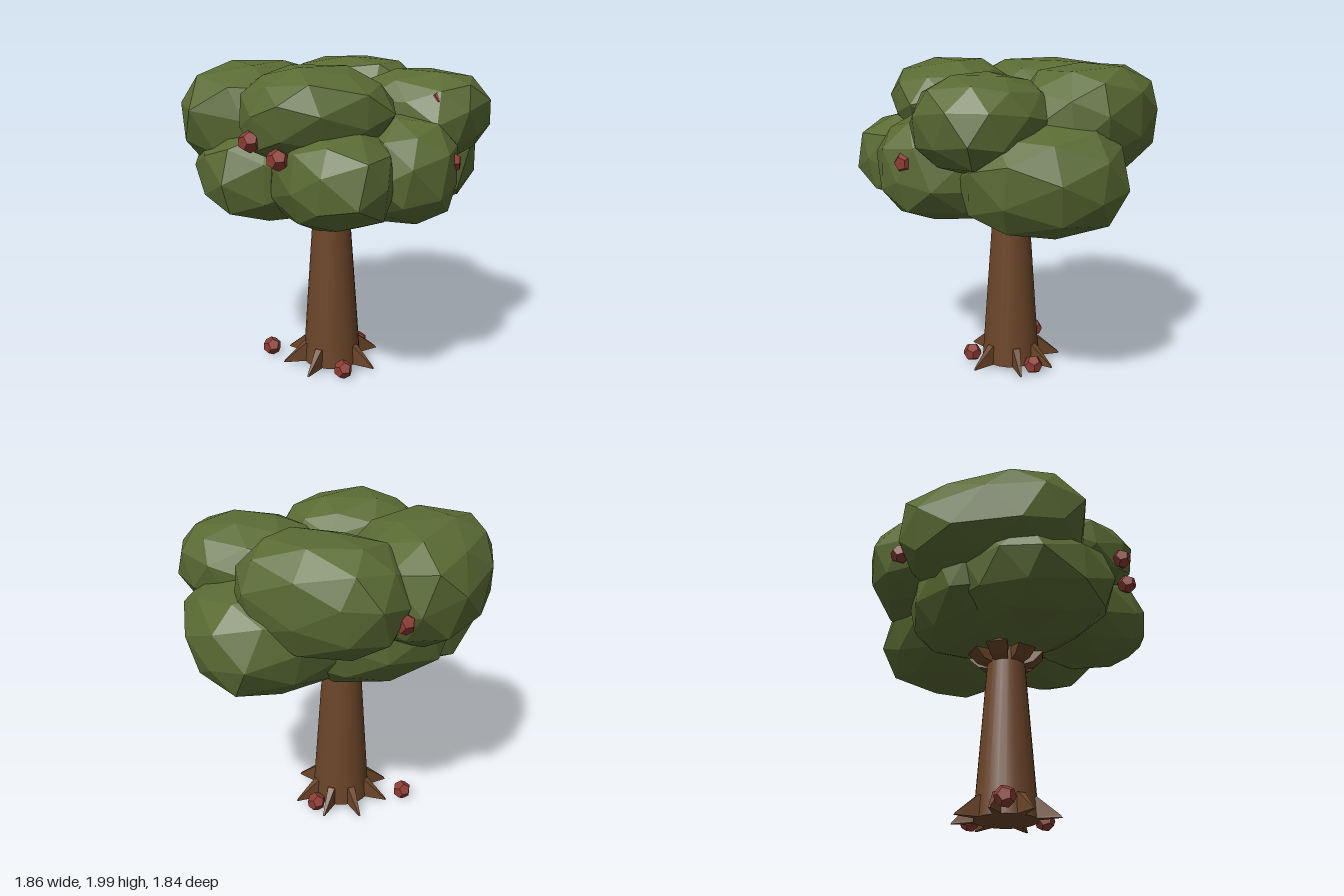
import * as THREE from 'three';

const std = (color, flat = true) => new THREE.MeshStandardMaterial({ color, flatShading: flat });
const leaf = std(0x5a6b34), bark = std(0x6b4529), barkSmooth = std(0x6b4529, false), red = std(0x8c3b32);
const TX = -0.065, TZ = -0.04; // trunk axis
const rad = THREE.MathUtils.degToRad;

// Repeatable wobble: the same corner always gets the same offset
function wobble(x, y, z, seed) {
  const s = Math.sin(x * 12.99 + y * 78.23 + z * 37.72 + seed * 4.13) * 437.58;
  return s - Math.floor(s) - 0.5;
}

// Faceted, slightly boxy leaf clump, turned by yaw degrees
function clump([x, y, z], [rx, ry, rz], yaw, seed, name) {
  const g = new THREE.IcosahedronGeometry(1, 1);
  g.rotateY(seed * 1.3).rotateX(seed * 0.7);
  const p = g.attributes.position, v = new THREE.Vector3();
  const box = (n) => Math.sign(n) * Math.abs(n) ** 0.82;
  for (let i = 0; i < p.count; i++) {
    v.fromBufferAttribute(p, i);
    const r = (n) => Math.round(n * 1000) / 1000 + 0;
    const k = 1 + 0.1 * wobble(r(v.x), r(v.y), r(v.z), seed);
    p.setXYZ(i, box(v.x) * k * rx, box(v.y) * k * ry, box(v.z) * k * rz);
  }
  g.computeVertexNormals();
  const m = new THREE.Mesh(g, leaf);
  m.position.set(x, y, z);
  m.rotation.y = rad(yaw);
  m.name = name;
  return m;
}

// Radial fin from an (outward, height) outline, its width set by distance from the trunk
function fin(points, width) {
  const shape = new THREE.Shape(points.map(([a, b]) => new THREE.Vector2(a, b)));
  const g = new THREE.ExtrudeGeometry(shape, { depth: 1, bevelEnabled: false });
  g.translate(0, 0, -0.5);
  const p = g.attributes.position;
  for (let i = 0; i < p.count; i++) p.setZ(i, p.getZ(i) * width(p.getX(i), p.getY(i)));
  g.computeVertexNormals();
  return g;
}

// Copies around the trunk; angles run from the front towards +x
function ring(geometry, angles, name) {
  const group = new THREE.Group();
  group.name = name + 's';
  group.position.set(TX, 0, TZ);
  angles.forEach((a, i) => {
    const m = new THREE.Mesh(geometry, bark);
    m.rotation.y = rad(a - 90);
    m.name = name + (i + 1);
    group.add(m);
  });
  return group;
}

export function createModel() {
  const tree = new THREE.Group();
  tree.name = 'appleTree';

  // Tapered trunk
  const trunk = new THREE.Mesh(new THREE.CylinderGeometry(0.105, 0.19, 1.2, 24), barkSmooth);
  trunk.position.set(TX, 0.63, TZ);
  trunk.name = 'trunk';
  tree.add(trunk);

  // Pointed roots and flared branch stubs
  const root = fin([[0.1, 0.03], [0.33, 0.03], [0.32, 0.045], [0.19, 0.155], [0.1, 0.17]],
    (x, y) => Math.max(0.012, 0.075 * Math.min(1, (0.33 - x) / 0.14) * (y > 0.1 ? 0.6 : 1)));
  tree.add(ring(root, [38, 95, 138, 180, -135, -92, -45], 'root'));
  const stub = fin([[0.08, 1.0], [0.17, 1.02], [0.23, 1.08], [0.24, 1.14], [0.08, 1.16]],
    (x) => 0.04 + 0.4 * x);
  tree.add(ring(stub, [20, 71, 123, 174, -134, -83, -31], 'branchStub'));

  // Leaf clumps: [centre, radii, yaw]
  const crown = new THREE.Group();
  crown.name = 'crown';
  const upper = [
    [[-0.42, 1.65, -0.33], [0.59, 0.35, 0.42], 45],
    [[0.23, 1.67, -0.46], [0.5, 0.33, 0.37], -45],
    [[-0.27, 1.73, 0.31], [0.44, 0.27, 0.39], 0],
    [[0.44, 1.68, 0.17], [0.41, 0.28, 0.37], -45],
  ];
  const lower = [
    [[0.43, 1.39, -0.16], [0.5, 0.33, 0.49], 0],
    [[-0.22, 1.4, 0.41], [0.34, 0.3, 0.5], 0],
    [[0.22, 1.41, 0.34], [0.32, 0.33, 0.44], 0],
    [[-0.41, 1.36, -0.07], [0.48, 0.31, 0.49], 0],
    [[-0.14, 1.38, -0.31], [0.5, 0.31, 0.36], 0],
  ];
  upper.forEach(([c, r, yaw], i) => crown.add(clump(c, r, yaw, i + 1, 'upperLeaves' + (i + 1))));
  lower.forEach(([c, r, yaw], i) => crown.add(clump(c, r, yaw, i + 6, 'lowerLeaves' + (i + 1))));
  tree.add(crown);

  // Apples in the crown and on the ground
  const appleGeo = new THREE.DodecahedronGeometry(0.062, 0).rotateZ(Math.PI / 2);
  const apples = [
    [-0.67, 1.62, 0.45], [-0.55, 1.54, 0.58], [0.41, 1.8, 0.47], [0.44, 1.47, 0.61],
    [-0.1, 1.58, -0.8], [-0.17, 1.6, -0.76],
    [-0.43, 0.062, -0.25], [-0.07, 0.062, 0.22], [0.16, 0.062, -0.16],
  ];
  apples.forEach((a, i) => {
    const m = new THREE.Mesh(appleGeo, red);
    m.position.set(...a);
    m.name = 'apple' + (i + 1);
    tree.add(m);
  });
  return tree;
}
